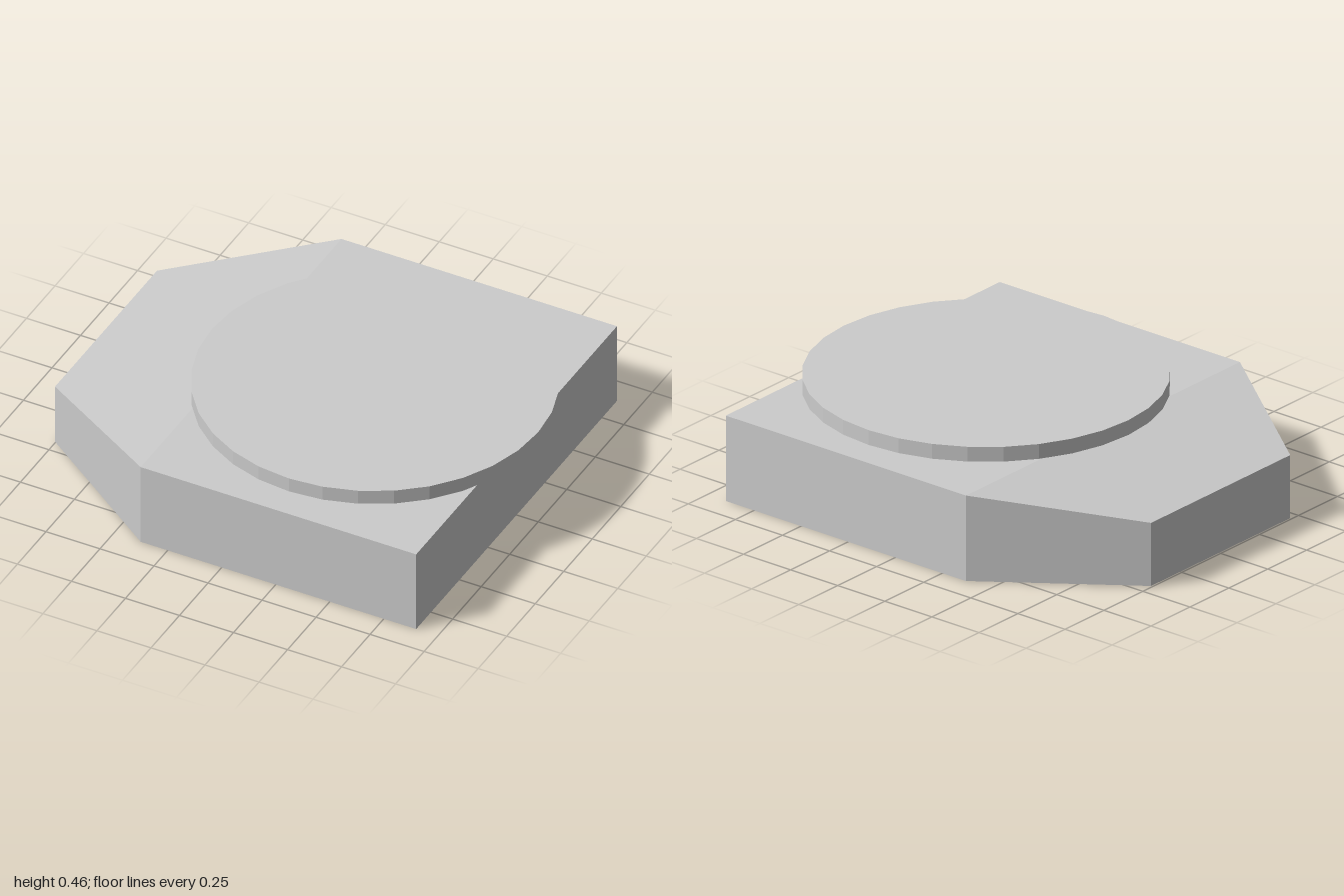
import * as THREE from 'three';

export function createModel() {
  const group = new THREE.Group();
  const material = new THREE.MeshStandardMaterial({ color: 0xcccccc, flatShading: true });

  // Base block: three cross-sections along x, tapering towards the -x nose
  const sections = [
    { x: -1, bottom: 0.006, top: 0.288, half: 0.447 },
    { x: -0.375, bottom: 0, top: 0.382, half: 0.88 },
    { x: 0.9, bottom: 0, top: 0.382, half: 0.88 },
  ];
  const block = new THREE.BoxGeometry(2, 2, 2, 2, 1, 1);
  const pos = block.attributes.position;
  for (let i = 0; i < pos.count; i++) {
    const s = sections[Math.round(pos.getX(i)) + 1];
    pos.setXYZ(i, s.x, pos.getY(i) > 0 ? s.top : s.bottom, pos.getZ(i) * s.half);
  }
  block.computeVertexNormals();
  const base = new THREE.Mesh(block, material);
  base.name = 'base';
  group.add(base);

  // Round plate floating just above the base, overhanging the +x edge
  const plate = new THREE.Mesh(new THREE.CylinderGeometry(0.755, 0.755, 0.066, 32), material);
  plate.position.set(0.245, 0.425, 0);
  plate.name = 'roundPlate';
  group.add(plate);

  return group;
}
